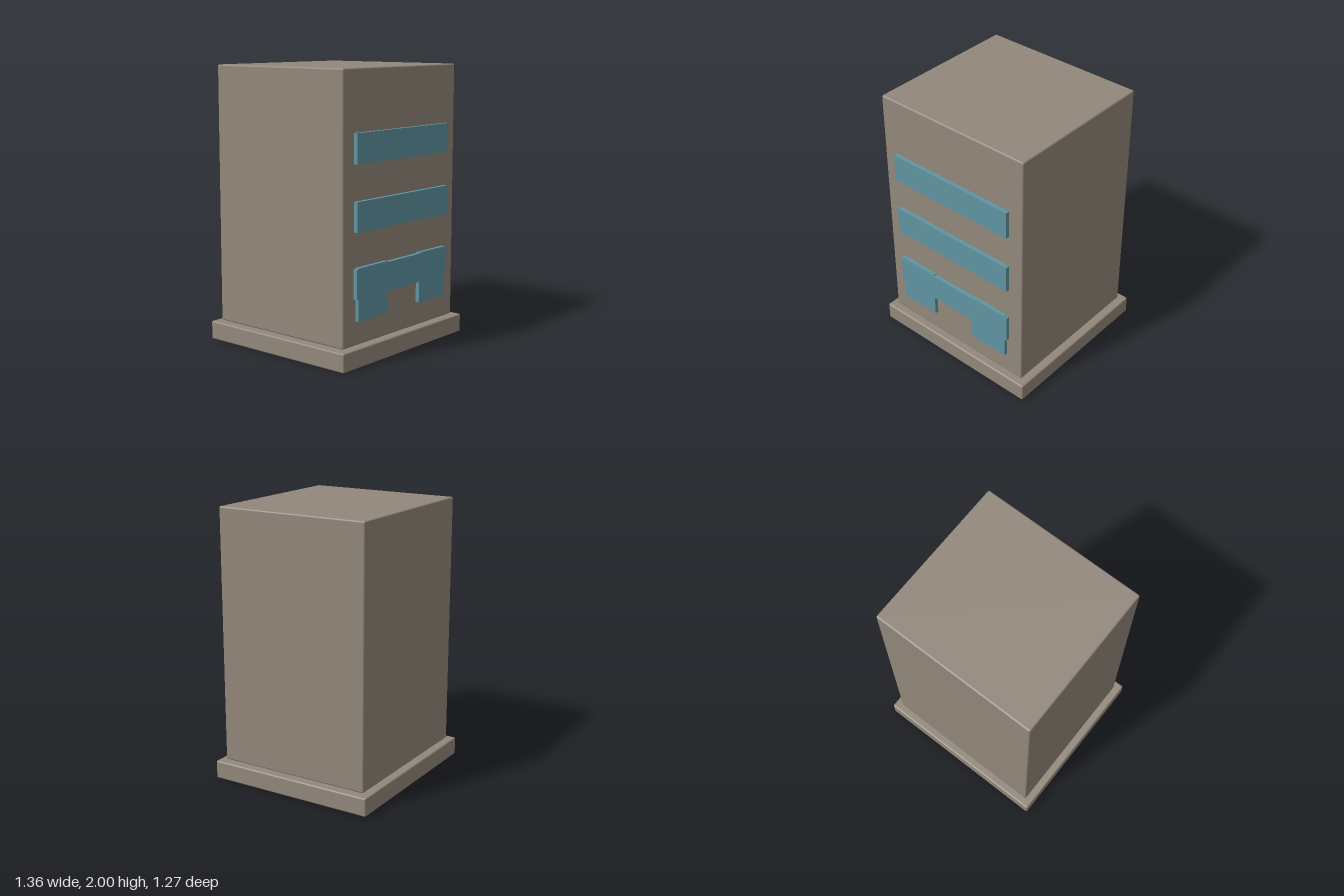
import * as THREE from 'three';
import { RoundedBoxGeometry } from 'three/addons/geometries/RoundedBoxGeometry.js';

export function createModel() {
  const building = new THREE.Group();
  building.name = 'building';

  const stone = new THREE.MeshStandardMaterial({ color: 0x92877b });
  stone.name = 'warm grey stone';
  const glass = new THREE.MeshStandardMaterial({ color: 0x6094a2 });
  glass.name = 'blue glass';

  const add = (name, geometry, material, x, y, z) => {
    const mesh = new THREE.Mesh(geometry, material);
    mesh.name = name;
    mesh.position.set(x, y, z);
    building.add(mesh);
  };

  // Plinth and tower with softly rounded edges
  add('plinth', new RoundedBoxGeometry(1.358, 0.135, 1.27, 3, 0.012), stone, 0, 0.0675, 0);
  add('tower', new RoundedBoxGeometry(1.248, 1.86, 1.166, 3, 0.012), stone, 0, 1.07, 0);

  // One window band per storey
  const wall = 0.583;
  for (const y of [0.568, 1.022, 1.476]) {
    add('windowBand', new THREE.BoxGeometry(1.024, 0.206, 0.03), glass, -0.001, y, wall + 0.015);
  }

  // Ground-floor shop windows, overlapping the lowest band
  for (const side of [-1, 1]) {
    add('shopWindow', new THREE.BoxGeometry(0.31, 0.366, 0.028), glass, side * 0.338 - 0.002, 0.495, wall + 0.014);
  }

  return building;
}
